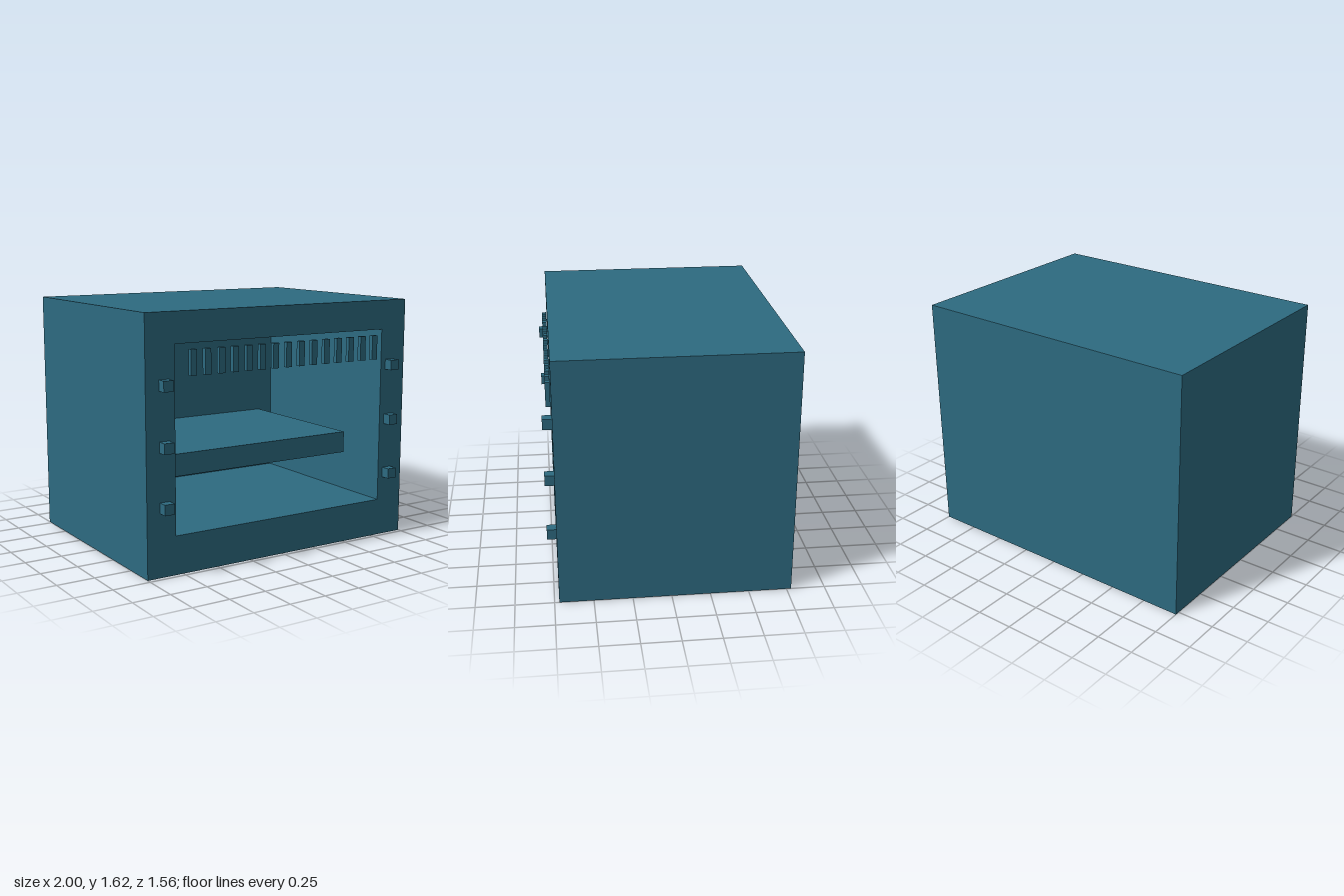
import * as THREE from 'three';

const teal = new THREE.MeshStandardMaterial({ color: 0x2d6a80 });
teal.name = 'teal';

// Box given by its lower and upper corners
function box(name, [x0, y0, z0], [x1, y1, z1]) {
  const geometry = new THREE.BoxGeometry(x1 - x0, y1 - y0, z1 - z0);
  geometry.translate((x0 + x1) / 2, (y0 + y1) / 2, (z0 + z1) / 2);
  const mesh = new THREE.Mesh(geometry, teal);
  mesh.name = name;
  return mesh;
}

function rectangle(path, x0, y0, x1, y1) {
  path.moveTo(x0, y0);
  path.lineTo(x1, y0);
  path.lineTo(x1, y1);
  path.lineTo(x0, y1);
  path.closePath();
  return path;
}

export function createModel() {
  const model = new THREE.Group();
  model.name = 'cabinet';
  const front = 0.72, cavityBack = -0.58, back = -0.78, height = 1.625;

  // Thick-walled casing, open at the front
  const outline = rectangle(new THREE.Shape(), -1, 0, 1, height);
  outline.holes.push(rectangle(new THREE.Path(), -0.8, 0.25, 0.8, 1.43));
  const wallGeometry = new THREE.ExtrudeGeometry(outline, { depth: front - cavityBack, bevelEnabled: false });
  wallGeometry.translate(0, 0, cavityBack);
  const casing = new THREE.Mesh(wallGeometry, teal);
  casing.name = 'casing';
  model.add(casing, box('backPanel', [-1, 0, back], [1, height, cavityBack]));

  // Inner shelf
  model.add(box('shelf', [-0.687, 0.555, cavityBack], [0.687, 0.7, 0.48]));

  // Row of slats hanging across the opening
  const slats = new THREE.Group();
  slats.name = 'slats';
  for (let i = 0; i < 15; i++) {
    const x = -0.687 + i * 0.1;
    slats.add(box('slat', [x - 0.021, 1.235, 0.724], [x + 0.021, 1.395, 0.754]));
  }
  model.add(slats);

  // Square studs down both sides of the front
  const studs = new THREE.Group();
  studs.name = 'studs';
  for (const x of [-0.875, 0.872]) {
    for (const y of [0.44, 0.815, 1.19]) {
      studs.add(box('stud', [x - 0.034, y - 0.034, front], [x + 0.034, y + 0.034, 0.78]));
    }
  }
  model.add(studs);

  return model;
}
